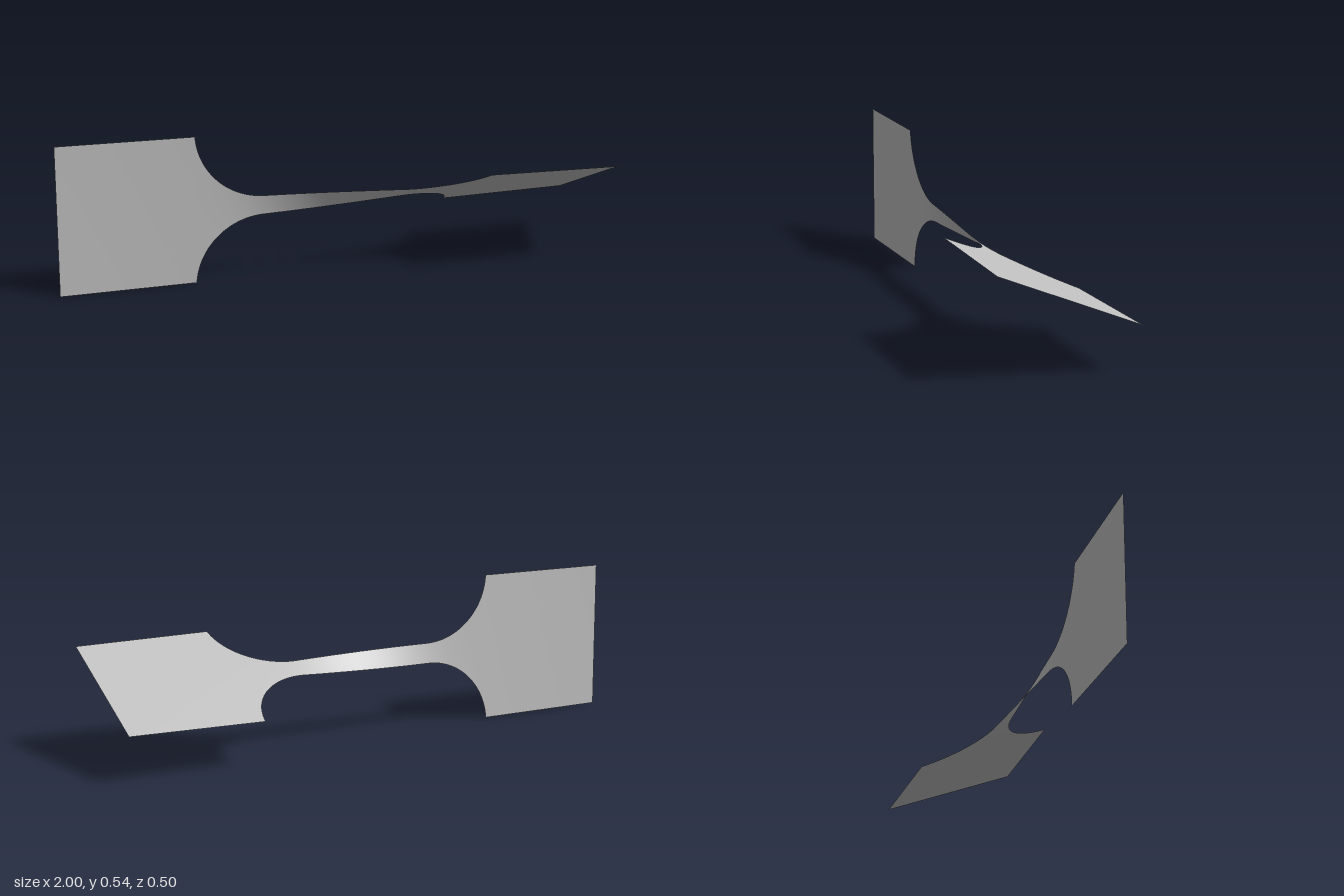
import * as THREE from 'three';

const GRIP = 0.27;          // half width of the end plates
const NECK = 0.037;         // half width of the neck
const NECK_END = 0.26;      // where the neck meets the fillets
const R = 0.25;             // fillet radius
const TWIST = THREE.MathUtils.degToRad(67.4);

// Outline stations [x, half width] from the neck's middle to one end
function halfOutline() {
  const pts = [];
  for (let i = 0; i < 40; i++) pts.push([(NECK_END * i) / 40, NECK]);
  const stop = Math.asin((NECK + R - GRIP) / R);
  for (let i = 0; i <= 40; i++) {
    const a = THREE.MathUtils.lerp(Math.PI / 2, stop, i / 40);
    pts.push([NECK_END + R * Math.cos(a), NECK + R - R * Math.sin(a)]);
  }
  const edge = pts[pts.length - 1][0];
  for (let i = 1; i <= 12; i++) pts.push([THREE.MathUtils.lerp(edge, 1, i / 12), GRIP]);
  return pts;
}

// Thin strip whose twist gathers where it is narrow
function twistedStrip() {
  const half = halfOutline();
  const stations = [...half.slice(1).reverse().map(([x, w]) => [-x, w]), ...half];
  const rate = (w) => Math.pow(NECK / w, 1.63);
  const turn = [0];
  for (let i = 1; i < stations.length; i++) {
    const [x0, w0] = stations[i - 1], [x1, w1] = stations[i];
    turn.push(turn[i - 1] + (x1 - x0) * (rate(w0) + rate(w1)) / 2);
  }
  const total = turn[turn.length - 1];

  const across = 24, positions = [], index = [];
  stations.forEach(([x, w], i) => {
    const a = (TWIST * turn[i]) / total;
    for (let j = 0; j <= across; j++) {
      const s = w * ((2 * j) / across - 1);
      positions.push(x, GRIP + s * Math.cos(a), s * Math.sin(a));
      if (i && j) {
        const d = i * (across + 1) + j, b = d - across - 1;
        index.push(b - 1, d - 1, d, b - 1, d, b);
      }
    }
  });
  const geometry = new THREE.BufferGeometry();
  geometry.setAttribute('position', new THREE.Float32BufferAttribute(positions, 3));
  geometry.setIndex(index);
  geometry.computeVertexNormals();
  return geometry;
}

export function createModel() {
  const group = new THREE.Group();
  group.name = 'twistedTestStrip';
  const metal = new THREE.MeshStandardMaterial({ color: 0xc0c0c0, side: THREE.DoubleSide });
  metal.name = 'light grey';
  const strip = new THREE.Mesh(twistedStrip(), metal);
  strip.name = 'strip';
  group.add(strip);
  return group;
}
